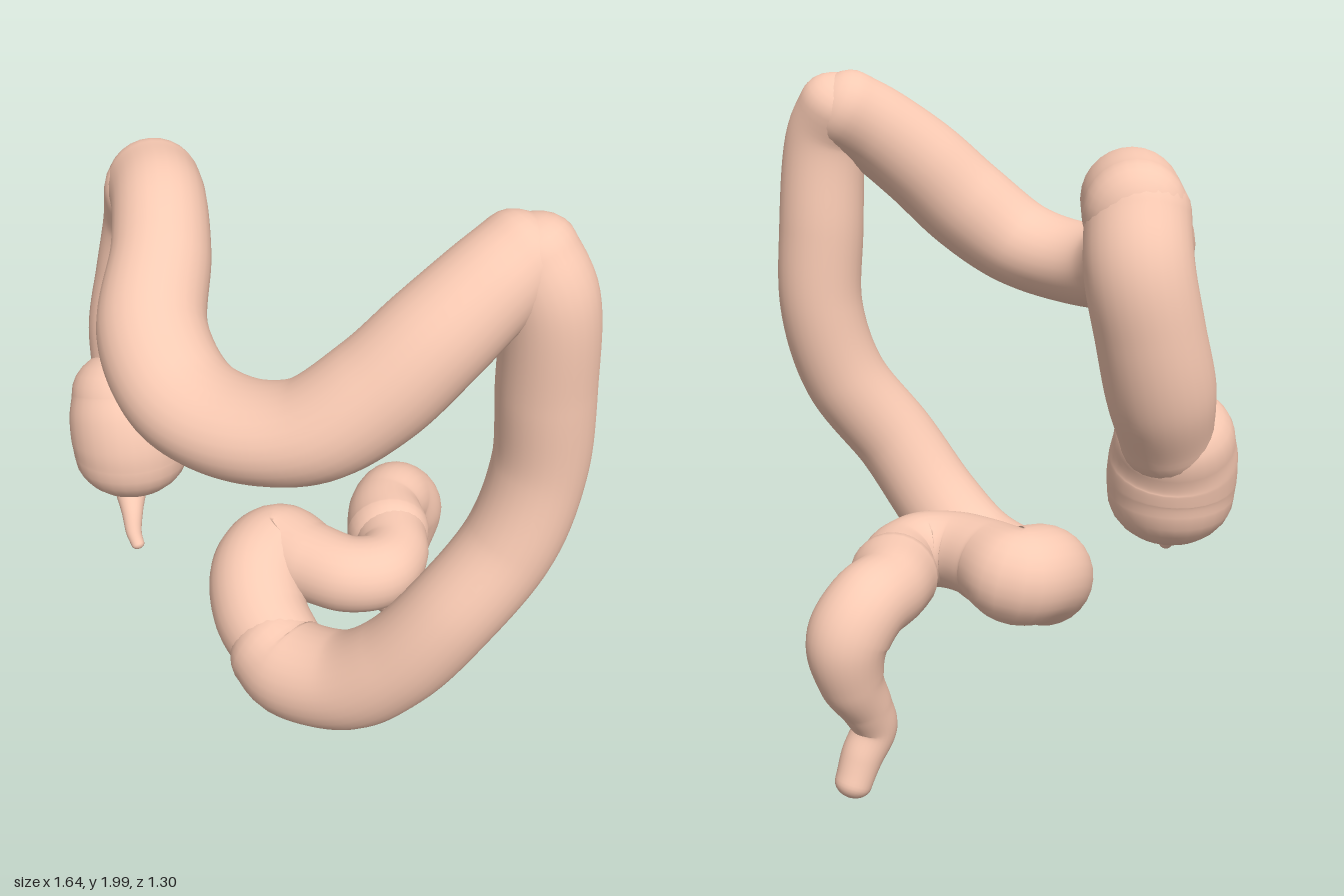
import * as THREE from 'three';

const SIDES = 28;
const material = new THREE.MeshStandardMaterial({ color: 0xf9cab3 });

// Swept tube with rounded ends. Each point: [x, y, z, radius, vertical squash = 1]
function gutTube(name, points) {
  const path = new THREE.CatmullRomCurve3(points.map(p => new THREE.Vector3(p[0], p[1], p[2])));
  // radius and squash run along their own smooth spline
  const sizes = new THREE.SplineCurve(points.map(p => new THREE.Vector2(p[3], p[4] ?? 1)));
  const steps = (points.length - 1) * 10;
  const frames = path.computeFrenetFrames(steps, false);
  const positions = [], index = [];
  let rings = 0;

  const addRing = (i, shift, shrink) => {
    const t = path.getUtoTmapping(i / steps);
    const { x: r, y: squash } = sizes.getPoint(t);
    const centre = path.getPoint(t).addScaledVector(frames.tangents[i], shift * r);
    for (let j = 0; j < SIDES; j++) {
      const a = (j / SIDES) * Math.PI * 2;
      const v = new THREE.Vector3()
        .addScaledVector(frames.normals[i], Math.cos(a) * r * shrink)
        .addScaledVector(frames.binormals[i], Math.sin(a) * r * shrink);
      v.y *= squash;
      v.add(centre);
      positions.push(v.x, v.y, v.z);
    }
    rings++;
  };

  // rounded start, body, rounded end
  const CAP = 7;
  for (let c = 0; c < CAP; c++) {
    const a = (c / CAP) * Math.PI / 2;
    addRing(0, -0.8 * Math.cos(a), Math.max(Math.sin(a), 0.01));
  }
  for (let i = 0; i <= steps; i++) addRing(i, 0, 1);
  for (let c = CAP - 1; c >= 0; c--) {
    const a = (c / CAP) * Math.PI / 2;
    addRing(steps, 0.8 * Math.cos(a), Math.max(Math.sin(a), 0.01));
  }

  for (let i = 0; i < rings - 1; i++) {
    for (let j = 0; j < SIDES; j++) {
      const a = i * SIDES + j, c = i * SIDES + (j + 1) % SIDES;
      index.push(a, c, a + SIDES, c, c + SIDES, a + SIDES);
    }
  }
  const geometry = new THREE.BufferGeometry();
  geometry.setAttribute('position', new THREE.Float32BufferAttribute(positions, 3));
  geometry.setIndex(index);
  geometry.computeVertexNormals();
  const mesh = new THREE.Mesh(geometry, material);
  mesh.name = name;
  return mesh;
}

export function createModel() {
  const group = new THREE.Group();
  group.name = 'largeIntestine';
  group.add(
    // pouch at the start, with its thin worm-like appendix
    gutTube('cecum', [
      [-0.635, 1.09, 0.105, 0.165], [-0.618, 1.03, 0.128, 0.176],
      [-0.605, 0.97, 0.14, 0.179], [-0.6, 0.915, 0.145, 0.175],
    ]),
    gutTube('appendix', [
      [-0.57, 0.82, 0.2, 0.05], [-0.53, 0.77, 0.25, 0.033],
      [-0.505, 0.72, 0.28, 0.024], [-0.485, 0.69, 0.29, 0.02],
    ]),
    // right side, rising to the first bend
    gutTube('ascendingColon', [
      [-0.65, 1.1, 0.05, 0.125], [-0.67, 1.25, -0.01, 0.145], [-0.665, 1.42, -0.06, 0.143],
      [-0.64, 1.58, -0.08, 0.142], [-0.59, 1.715, -0.03, 0.138],
    ]),
    // sagging forward across the body
    gutTube('transverseColon', [
      [-0.6, 1.72, -0.05, 0.135], [-0.49, 1.73, 0.07, 0.133], [-0.395, 1.66, 0.2, 0.138],
      [-0.305, 1.53, 0.37, 0.15, 0.95], [-0.14, 1.435, 0.47, 0.155, 0.84], [0.05, 1.415, 0.49, 0.157, 0.8],
      [0.24, 1.455, 0.45, 0.152, 0.87], [0.38, 1.57, 0.36, 0.147], [0.48, 1.7, 0.26, 0.143],
      [0.565, 1.815, 0.14, 0.133], [0.61, 1.87, 0.06, 0.128],
    ]),
    // left side, falling and curling to the middle
    gutTube('descendingColon', [
      [0.625, 1.88, 0.05, 0.122], [0.68, 1.78, 0.045, 0.126], [0.688, 1.5, 0.02, 0.132],
      [0.685, 1.25, 0.01, 0.13], [0.645, 1.02, 0.065, 0.132], [0.535, 0.8, 0.185, 0.133],
      [0.4, 0.6, 0.245, 0.138], [0.25, 0.47, 0.268, 0.147], [0.06, 0.43, 0.27, 0.151],
      [-0.02, 0.45, 0.25, 0.143],
    ]),
    // folded loop behind the descending part
    gutTube('sigmoidColon', [
      [0.0, 0.45, 0.24, 0.135], [-0.11, 0.5, 0.18, 0.145], [-0.185, 0.57, 0.08, 0.147],
      [-0.175, 0.59, -0.02, 0.145], [-0.05, 0.6, -0.01, 0.125], [0.08, 0.6, -0.02, 0.118],
      [0.15, 0.6, -0.08, 0.115], [0.15, 0.6, -0.17, 0.11], [0.1, 0.6, -0.25, 0.112],
    ]),
    // backward, then down to the outlet
    gutTube('rectum', [
      [0.075, 0.595, -0.275, 0.13], [0.015, 0.6, -0.36, 0.118], [-0.005, 0.585, -0.46, 0.118],
      [0.0, 0.5, -0.53, 0.118], [-0.005, 0.38, -0.525, 0.095], [-0.01, 0.28, -0.475, 0.076],
      [-0.01, 0.2, -0.445, 0.067], [0.0, 0.12, -0.485, 0.062], [0.0, 0.045, -0.522, 0.055],
    ]),
  );
  return group;
}
